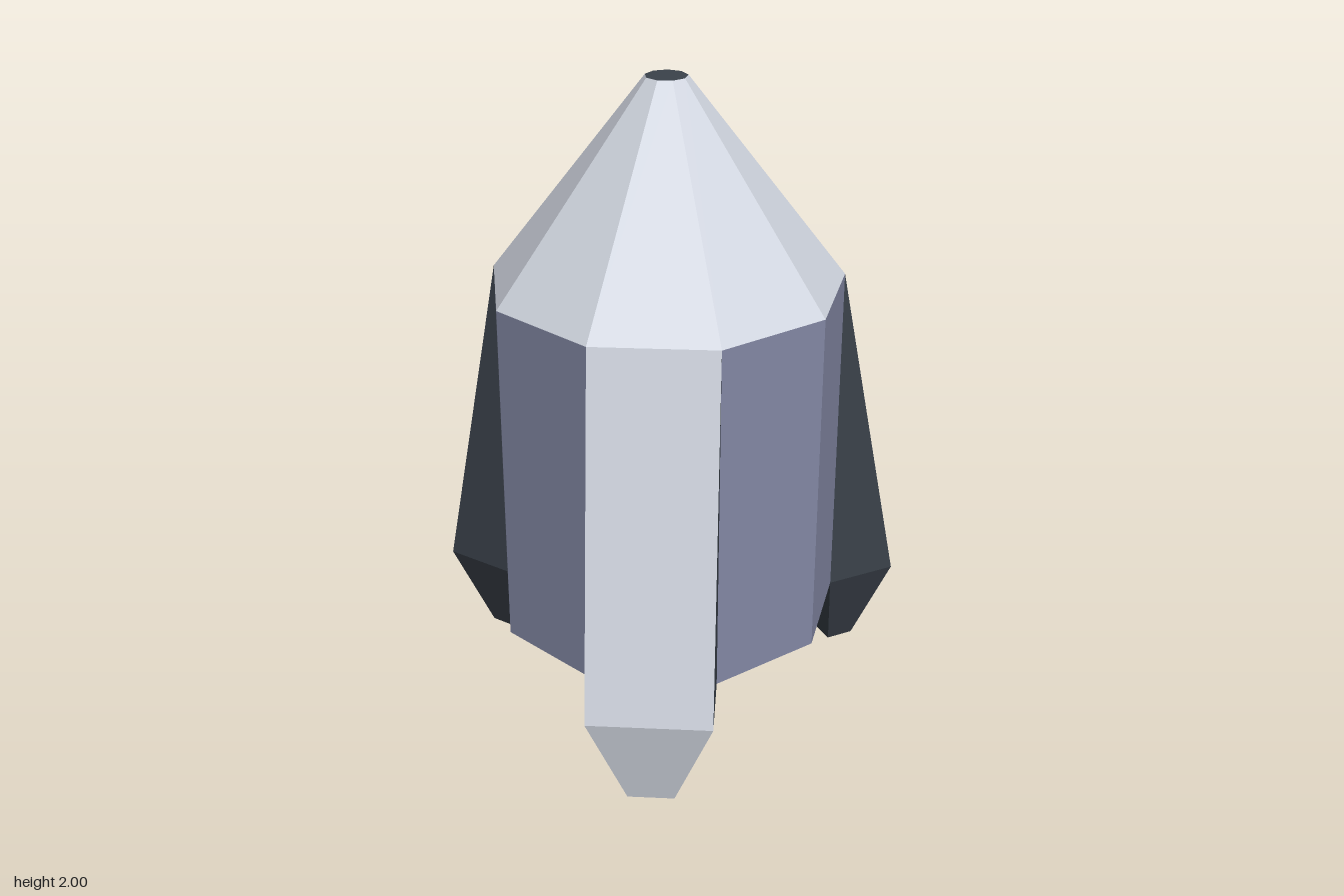
import * as THREE from 'three';

const SIDES = 9;
const R = 0.54, BASE = 0.3, SHOULDER = 1.38, TOP = 2, TIP_R = 0.063;
const RECESS = 0.13, RECESS_R = 0.487;

function material(name, color, side = THREE.FrontSide) {
  const m = new THREE.MeshStandardMaterial({ color, flatShading: true, side });
  m.name = name;
  return m;
}

// Nine-sided open tube with one corner pointing straight back
function ring(rTop, rBottom, y0, y1) {
  return new THREE.CylinderGeometry(rTop, rBottom, y1 - y0, SIDES, 1, true, Math.PI)
    .translate(0, (y0 + y1) / 2, 0);
}

// Nine-sided disc facing up (dir = 1) or down (dir = -1)
function disc(r, y, dir) {
  return new THREE.CircleGeometry(r, SIDES, dir * Math.PI / 2)
    .rotateX(-dir * Math.PI / 2).translate(0, y, 0);
}

// Fin on the +z face: light outer panels and foot, dark flanks
function finGeometry() {
  const w = R * Math.sin(Math.PI / SIDES), f = 0.07;
  const inner = R * Math.cos(Math.PI / SIDES);
  const pair = (x, y, z) => [[-x, y, z], [x, y, z]];
  const [aL, aR] = pair(w, SHOULDER, inner);
  const [bL, bR] = pair(w, BASE, 0.742);
  const [cL, cR] = pair(f, 0, 0.672);
  const [dL, dR] = pair(f, 0, 0.582);
  const [eL, eR] = pair(w, BASE, inner);
  const light = [[aL, bL, bR, aR], [bL, cL, cR, bR], [cL, dL, dR, cR]];
  const dark = [[aR, bR, eR], [bR, cR, dR, eR], [aL, eL, bL], [eL, dL, cL, bL], [eR, dR, dL, eL]];
  const pos = [];
  const add = (faces) => {
    for (const p of faces)
      for (let i = 1; i < p.length - 1; i++) pos.push(...p[0], ...p[i], ...p[i + 1]);
    return pos.length / 3;
  };
  const lightEnd = add(light), end = add(dark);
  const g = new THREE.BufferGeometry();
  g.setAttribute('position', new THREE.Float32BufferAttribute(pos, 3));
  g.addGroup(0, lightEnd, 0);
  g.addGroup(lightEnd, end - lightEnd, 1);
  g.computeVertexNormals();
  return g;
}

export function createModel() {
  const model = new THREE.Group();
  model.name = 'rocketCapsule';
  const lightGrey = material('lightGrey', 0xd0d5df);
  const slateBlue = material('slateBlue', 0x8489a5);
  const darkGrey = material('darkGrey', 0x3b424b);
  const orange = material('orange', 0xe86a14, THREE.DoubleSide);
  const cream = material('cream', 0xd0c8a0);

  // The body axis sits slightly behind the origin
  const body = new THREE.Group();
  body.name = 'body';
  body.position.z = -0.102;
  model.add(body);
  const add = (name, geometry, mat) => {
    const mesh = new THREE.Mesh(geometry, mat);
    mesh.name = name;
    body.add(mesh);
    return mesh;
  };

  // Hull, nose and cap
  add('hull', ring(R, R, BASE, SHOULDER), slateBlue);
  add('noseCone', ring(TIP_R, R, SHOULDER, TOP), lightGrey);
  add('noseCap', disc(TIP_R, TOP, 1), darkGrey);

  // Recessed underside
  add('engineWall', ring(RECESS_R, R, BASE, BASE + RECESS), orange);
  add('engineCeiling', disc(RECESS_R, BASE + RECESS, -1), cream);

  // Three fins, a third of a turn apart
  const fin = finGeometry();
  ['frontFin', 'leftFin', 'rightFin'].forEach((name, i) => {
    add(name, fin, [lightGrey, darkGrey]).rotation.y = i * Math.PI * 2 / 3;
  });
  return model;
}
